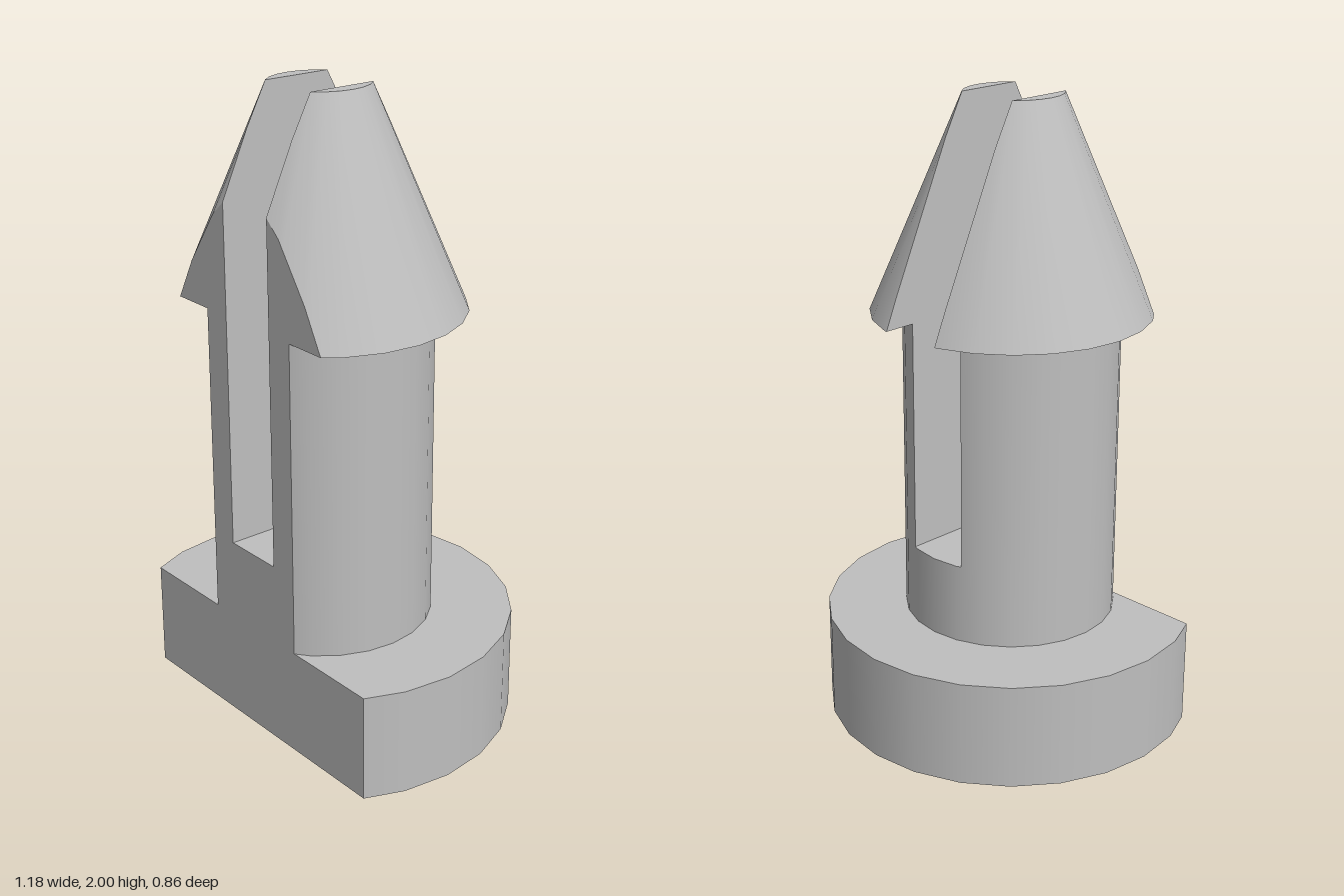
import * as THREE from 'three';

const AXIS_Z = 0.16;   // the round parts share this axis
const FLAT = 0.271;    // distance from the axis to the flat front
const SLOT = 0.103;    // half width of the slot

// Cut a convex solid, keeping n.p <= c, and close the cut with a flat cap.
function cut(geometry, n, c) {
  const src = geometry.index ? geometry.toNonIndexed() : geometry;
  const P = src.attributes.position, N = src.attributes.normal;
  const pos = [], nor = [], rim = [];
  const add = (v) => { pos.push(...v.p.toArray()); nor.push(...v.n.toArray()); };
  for (let i = 0; i < P.count; i += 3) {
    const tri = [0, 1, 2].map((k) => {
      const p = new THREE.Vector3().fromBufferAttribute(P, i + k);
      return { p, n: new THREE.Vector3().fromBufferAttribute(N, i + k), d: p.dot(n) - c };
    });
    const poly = [];
    tri.forEach((a, k) => {
      const b = tri[(k + 1) % 3];
      if (a.d <= 0) poly.push(a);
      if ((a.d <= 0) !== (b.d <= 0)) {
        const t = a.d / (a.d - b.d);
        const m = { p: a.p.clone().lerp(b.p, t), n: a.n.clone().lerp(b.n, t).normalize() };
        poly.push(m);
        rim.push(m.p);
      }
    });
    for (let k = 1; k + 1 < poly.length; k++) [poly[0], poly[k], poly[k + 1]].forEach(add);
  }
  // cap: fan around the centre of the rim
  const mid = new THREE.Vector3();
  rim.forEach((p) => mid.addScaledVector(p, 1 / rim.length));
  const v = new THREE.Vector3(0, 1, 0), u = v.clone().cross(n);
  const angle = (p) => Math.atan2(p.clone().sub(mid).dot(v), p.clone().sub(mid).dot(u));
  rim.sort((a, b) => angle(a) - angle(b));
  rim.forEach((p, k) => [mid, p, rim[(k + 1) % rim.length]].forEach((q) => add({ p: q, n })));

  const out = new THREE.BufferGeometry();
  out.setAttribute('position', new THREE.Float32BufferAttribute(pos, 3));
  out.setAttribute('normal', new THREE.Float32BufferAttribute(nor, 3));
  return out;
}

// Round section between two heights with the front sliced flat
function flatRound(rTop, rBottom, y0, y1, open = false) {
  const g = new THREE.CylinderGeometry(rTop, rBottom, y1 - y0, 24, 1, open);
  g.translate(0, (y0 + y1) / 2, 0);
  return cut(g, new THREE.Vector3(0, 0, 1), FLAT);
}

export function createModel() {
  const group = new THREE.Group();
  const grey = new THREE.MeshStandardMaterial({ color: 0xbfbfbf });
  grey.name = 'grey plastic';

  const add = (name, geometry) => {
    const mesh = new THREE.Mesh(geometry, grey);
    mesh.name = name;
    mesh.position.z = AXIS_Z;
    group.add(mesh);
  };

  // Base disc and solid lower stem
  add('base', flatRound(0.592, 0.592, 0, 0.34));
  add('lowerStem', flatRound(0.338, 0.338, 0.34, 0.595));

  // Two springy prongs with tapered barbed heads, either side of the slot
  for (const [side, s] of [['left', 1], ['right', -1]]) {
    const inner = new THREE.Vector3(-s, 0, 0);
    add(side + 'Prong', cut(flatRound(0.338, 0.338, 0.595, 1.33, true), inner, -SLOT));
    add(side + 'Head', cut(flatRound(0.153, 0.438, 1.33, 2), inner, -SLOT));
  }
  return group;
}
